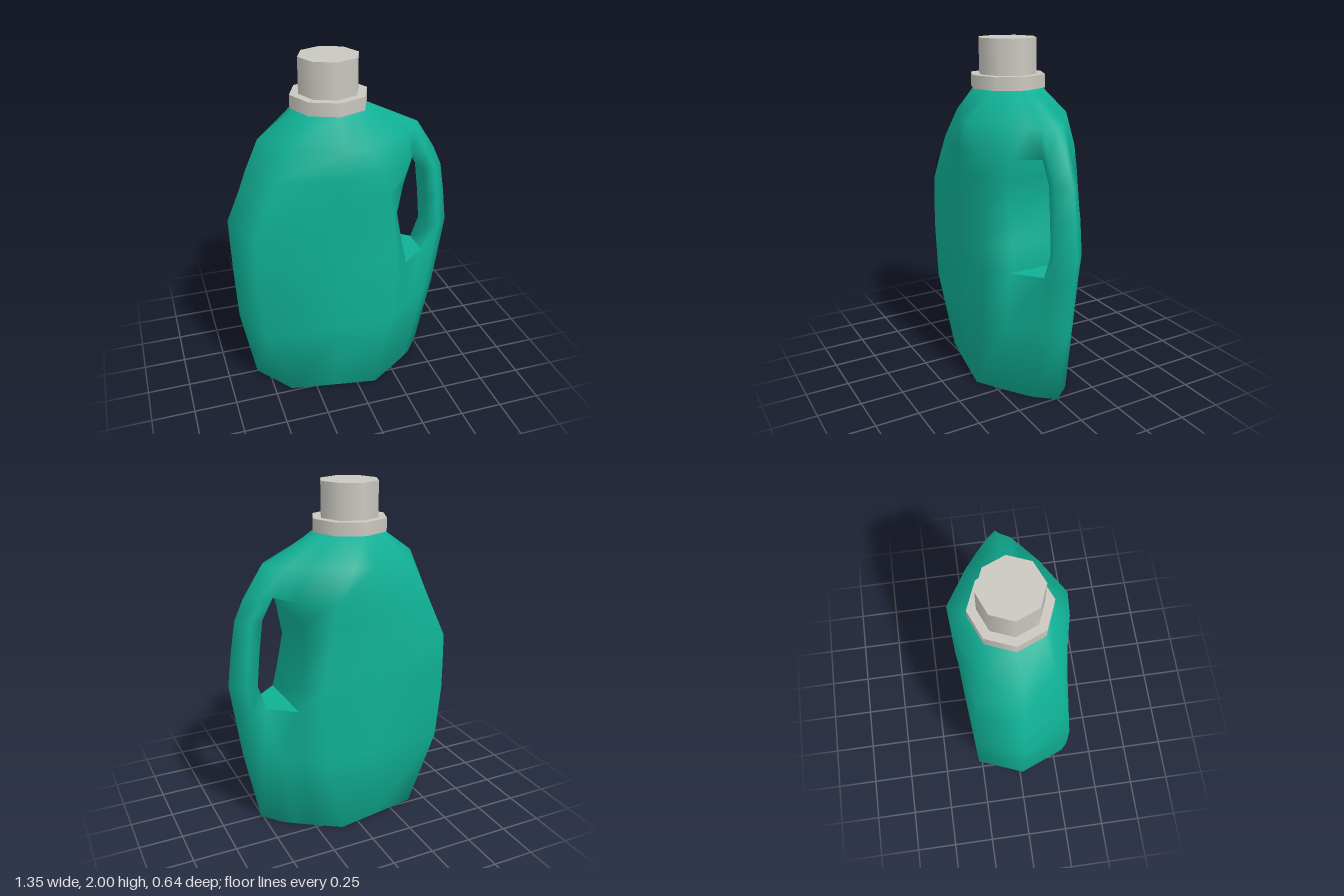
import * as THREE from 'three';

const teal = new THREE.MeshStandardMaterial({ color: 0x10b096 });
teal.name = 'teal plastic';
const grey = new THREE.MeshStandardMaterial({ color: 0xcac8c0 });
grey.name = 'warm grey plastic';

// Heights of the cross-sections; the grip opening spans levels 2 to 6
const heights = [0, 0.45, 0.76, 0.9, 1.1, 1.28, 1.4, 1.57, 1.725];
const HOLE_START = 2, HOLE_END = 6;

// Seams of the front half, running from the left tip to the handle tip
const seams = [
  { x: [-0.57, -0.655, -0.67, -0.675, -0.68, -0.605, -0.56, -0.485, -0.27], z: Array(9).fill(0) },
  { x: [-0.4, -0.55, -0.58, -0.58, -0.58, -0.5, -0.45, -0.36, -0.22],
    z: [0.23, 0.265, 0.265, 0.265, 0.26, 0.245, 0.23, 0.19, 0.14] },
  { x: [-0.15, -0.1, -0.1, -0.1, -0.1, -0.1, -0.1, -0.08, -0.08],
    z: [0.275, 0.305, 0.305, 0.305, 0.305, 0.31, 0.31, 0.31, 0.2] },
  { x: [0.11, 0.2, 0.23, 0.23, 0.2, 0.17, 0.14, 0.05, 0.04],
    z: [0.32, 0.32, 0.32, 0.32, 0.32, 0.32, 0.32, 0.32, 0.16] },
  // Body side of the grip opening
  { x: [0.28, 0.32, 0.33, 0.305, 0.27, 0.3, 0.33, 0.25, 0.09],
    z: [0.21, 0.23, 0.21, 0.19, 0.18, 0.19, 0.2, 0.2, 0.1] },
  // Handle side of the grip opening
  { x: [0.36, 0.43, 0.48, 0.52, 0.5, 0.475, 0.41, 0.35, 0.1],
    z: [0.155, 0.13, 0.085, 0.07, 0.065, 0.06, 0.06, 0.12, 0.07] },
  { x: [0.42, 0.51, 0.56, 0.585, 0.57, 0.545, 0.49, 0.41, 0.11],
    z: [0.11, 0.09, 0.085, 0.085, 0.08, 0.07, 0.07, 0.07, 0.04] },
  { x: [0.51, 0.605, 0.65, 0.67, 0.645, 0.615, 0.56, 0.45, 0.12], z: Array(9).fill(0) },
];
const BODY_EDGE = 4, GRIP_EDGE = 5;
const COUNT = (seams.length - 1) * 2;
const mirror = (j) => (COUNT - j) % COUNT;

function sectionPoint(level, j) {
  const front = j < seams.length;
  const seam = seams[front ? j : mirror(j)];
  return [seam.x[level], heights[level], seam.z[level] * (front ? 1 : -1)];
}

function bottleGeometry() {
  const positions = [], index = [];
  const add = (p) => positions.push(...p) / 3 - 1;
  heights.forEach((_, i) => {
    for (let j = 0; j < COUNT; j++) add(sectionPoint(i, j));
  });
  const at = (i, j) => i * COUNT + j;
  const quad = (a, b, c, d) => index.push(a, b, c, a, c, d);
  const wall = (i, j, k) => quad(at(i, j), at(i, k), at(i + 1, k), at(i + 1, j));

  // Skin, leaving the grip opening free and lining its two side walls
  for (let i = 0; i < heights.length - 1; i++) {
    const open = i >= HOLE_START && i < HOLE_END;
    for (let j = 0; j < COUNT; j++) {
      if (open && (j === BODY_EDGE || j === mirror(GRIP_EDGE))) continue;
      wall(i, j, (j + 1) % COUNT);
    }
    if (open) {
      wall(i, BODY_EDGE, mirror(BODY_EDGE));
      wall(i, mirror(GRIP_EDGE), GRIP_EDGE);
    }
  }

  // Sill and lintel of the opening, with their own vertices for a sharp edge
  const ledge = [BODY_EDGE, GRIP_EDGE, mirror(GRIP_EDGE), mirror(BODY_EDGE)];
  quad(...ledge.map((j) => add(sectionPoint(HOLE_START, j))));
  quad(...[...ledge].reverse().map((j) => add(sectionPoint(HOLE_END, j))));

  // Base and top
  const base = add([0, 0, 0]);
  const top = add([-0.08, heights[8], 0]);
  for (let j = 0; j < COUNT; j++) {
    const k = (j + 1) % COUNT;
    index.push(base, at(0, k), at(0, j), top, at(8, j), at(8, k));
  }

  const geometry = new THREE.BufferGeometry();
  geometry.setAttribute('position', new THREE.Float32BufferAttribute(positions, 3));
  geometry.setIndex(index);
  geometry.computeVertexNormals();
  return geometry;
}

export function createModel() {
  const group = new THREE.Group();
  group.name = 'detergentBottle';

  const body = new THREE.Mesh(bottleGeometry(), teal);
  body.name = 'bottleWithHandle';
  group.add(body);

  // Eight-sided collar and cap
  const addRound = (name, radius, bottom, topY) => {
    const mesh = new THREE.Mesh(new THREE.CylinderGeometry(radius, radius, topY - bottom, 8), grey);
    mesh.name = name;
    mesh.position.set(-0.08, (bottom + topY) / 2, 0);
    group.add(mesh);
  };
  addRound('collar', 0.22, 1.725, 1.8);
  addRound('cap', 0.17, 1.8, 2);
  return group;
}
